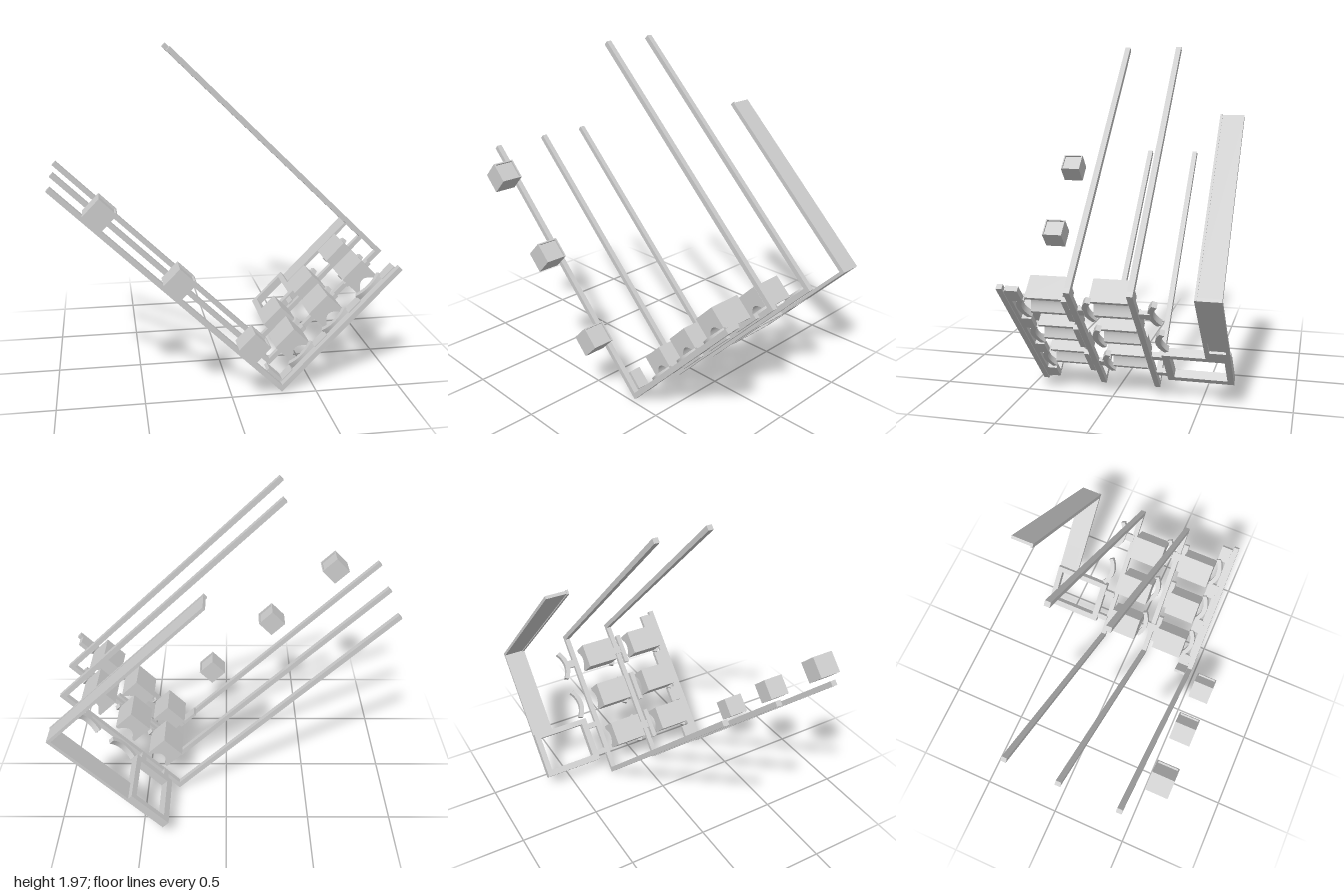
import * as THREE from 'three';
import { toCreasedNormals } from 'three/addons/utils/BufferGeometryUtils.js';

const grey = new THREE.MeshStandardMaterial({ color: 0xcccccc, side: THREE.DoubleSide });

export function createModel() {
  const model = new THREE.Group();
  // Everything is built upright (x along the floor, y up the posts), then tilted
  const body = new THREE.Group();
  body.name = 'tiltedAssembly';
  body.position.set(0.3, 0.005, 0);
  body.rotation.z = 0.8;
  model.add(body);

  const add = (name, geometry, parent = body) => {
    const mesh = new THREE.Mesh(geometry, grey);
    mesh.name = name;
    parent.add(mesh);
    return mesh;
  };
  // Box given by its lower and upper limits on each axis
  const box = (name, x0, x1, y0, y1, z0, z1, parent) => {
    const g = new THREE.BoxGeometry(x1 - x0, y1 - y0, z1 - z0);
    g.translate((x0 + x1) / 2, (y0 + y1) / 2, (z0 + z1) / 2);
    return add(name, g, parent);
  };

  // Floor beams with their long posts
  const W = 1.0, H = 1.8, T = 0.03;
  for (const [z, posts] of [[0.462, [0]], [0.105, [0, W - T]], [-0.217, [0, W - T]]]) {
    const h = 0.016;
    box('floorBeam', 0, W, 0, T, z - h, z + h);
    for (const x of posts) box('post', x, x + T, T, H, z - h, z + h);
  }

  // Blocks with a hollowed underside
  const centres = [0.23, 0.512, 0.795];
  const profile = new THREE.Shape();
  profile.moveTo(-0.078, 0);
  profile.lineTo(-0.06, 0);
  profile.quadraticCurveTo(0, 0.1, 0.06, 0);
  profile.lineTo(0.078, 0);
  profile.lineTo(0.078, 0.14);
  profile.lineTo(-0.078, 0.14);
  profile.closePath();
  const blockGeo = toCreasedNormals(
    new THREE.ExtrudeGeometry(profile, { depth: 0.205, bevelEnabled: false, curveSegments: 12 }), 0.6);

  // Curved rest, bowed towards +z
  const bow = new THREE.Shape();
  bow.moveTo(-0.098, -0.045);
  bow.quadraticCurveTo(0, 0.025, 0.098, -0.045);
  bow.lineTo(0.086, -0.07);
  bow.quadraticCurveTo(0, -0.008, -0.086, -0.07);
  bow.closePath();
  const bowGeo = new THREE.ExtrudeGeometry(bow, { depth: 0.035, bevelEnabled: false, curveSegments: 10 });
  bowGeo.rotateX(Math.PI / 2);
  const restGeo = toCreasedNormals(bowGeo, 0.6);

  centres.forEach((x, i) => {
    for (const z of [0.165, -0.18]) add('block', blockGeo).position.set(x, 0.034, z);
    for (const z of [0.435, 0.08]) add('curvedRest', restGeo).position.set(x, 0.05, z);
    if (i > 0) add('curvedRest', restGeo).position.set(x, 0.05, -0.265);
    // Flat bracket beside the middle beam
    box('bracket', x - 0.1, x + 0.1, 0.01, 0.04, 0.13, 0.16);
    if (i !== 1) box('link', x - 0.025, x + 0.025, 0.01, 0.035, 0.06, 0.14);
    if (i === 2) box('link', x - 0.025, x + 0.025, 0.01, 0.035, -0.29, -0.22);
  });

  // Rail and tiles along the front beam
  box('frontRail', 0.02, 0.97, 0.005, 0.03, 0.425, 0.455);
  for (const x of [0.08, 0.371, 0.653, 0.93]) box('railTile', x - 0.05, x + 0.05, 0.005, 0.035, 0.37, 0.44);
  box('postTile', 0.03, 0.05, 0.04, 0.15, 0.37, 0.445);

  // Open rectangular frame behind the back beam
  const frame = new THREE.Group();
  frame.name = 'openFrame';
  body.add(frame);
  box('frameSide', 0.11, 0.15, 0, 0.05, -0.67, -0.295, frame);
  box('frameSide', 0.37, 0.405, 0, 0.05, -0.67, -0.295, frame);
  box('frameEnd', 0.15, 0.37, 0, 0.05, -0.335, -0.295, frame);
  box('frameEnd', 0.15, 0.37, 0, 0.05, -0.67, -0.635, frame);
  for (const x of [0.155, 0.345]) box('frameLink', x - 0.018, x + 0.018, 0.01, 0.04, -0.3, -0.225, frame);

  // Floor panel with a recessed square opening, and the tall panel at its end
  const floor = new THREE.Shape();
  floor.moveTo(0.39, -0.67);
  floor.lineTo(W, -0.67);
  floor.lineTo(W, -0.535);
  floor.lineTo(0.39, -0.535);
  floor.closePath();
  const hole = new THREE.Path();
  hole.moveTo(0.47, -0.65);
  hole.lineTo(0.47, -0.56);
  hole.lineTo(0.58, -0.56);
  hole.lineTo(0.58, -0.65);
  hole.closePath();
  floor.holes.push(hole);
  const floorGeo = new THREE.ExtrudeGeometry(floor, { depth: 0.02, bevelEnabled: false });
  floorGeo.rotateX(Math.PI / 2);
  floorGeo.translate(0, 0.02, 0);
  add('floorPanel', floorGeo);
  box('recessPanel', 0.47, 0.58, 0.015, 0.02, -0.65, -0.56);
  box('tallPanel', W - 0.018, W, 0.02, 1.225, -0.67, -0.535);
  box('panelLip', W - 0.024, W + 0.003, 0.0, 1.23, -0.548, -0.535);

  // Three boxes in front of the first post, each with a shallow recess on +x
  for (const y of [0.405, 0.973, 1.54]) {
    const crate = new THREE.Group();
    crate.name = 'crate';
    crate.position.set(0.128, y, 0.605);
    body.add(crate);
    const s = 0.063, r = 0.055;
    box('crateBody', -s, s - 0.012, -s, s, -0.066, 0.066, crate);
    for (const k of [-1, 1]) {
      const rim = (a, b) => [Math.min(k * a, k * b), Math.max(k * a, k * b)];
      box('crateRim', s - 0.012, s, ...rim(r, s), -0.066, 0.066, crate);
      box('crateRim', s - 0.012, s, -r, r, ...rim(0.058, 0.066), crate);
    }
  }
  return model;
}
